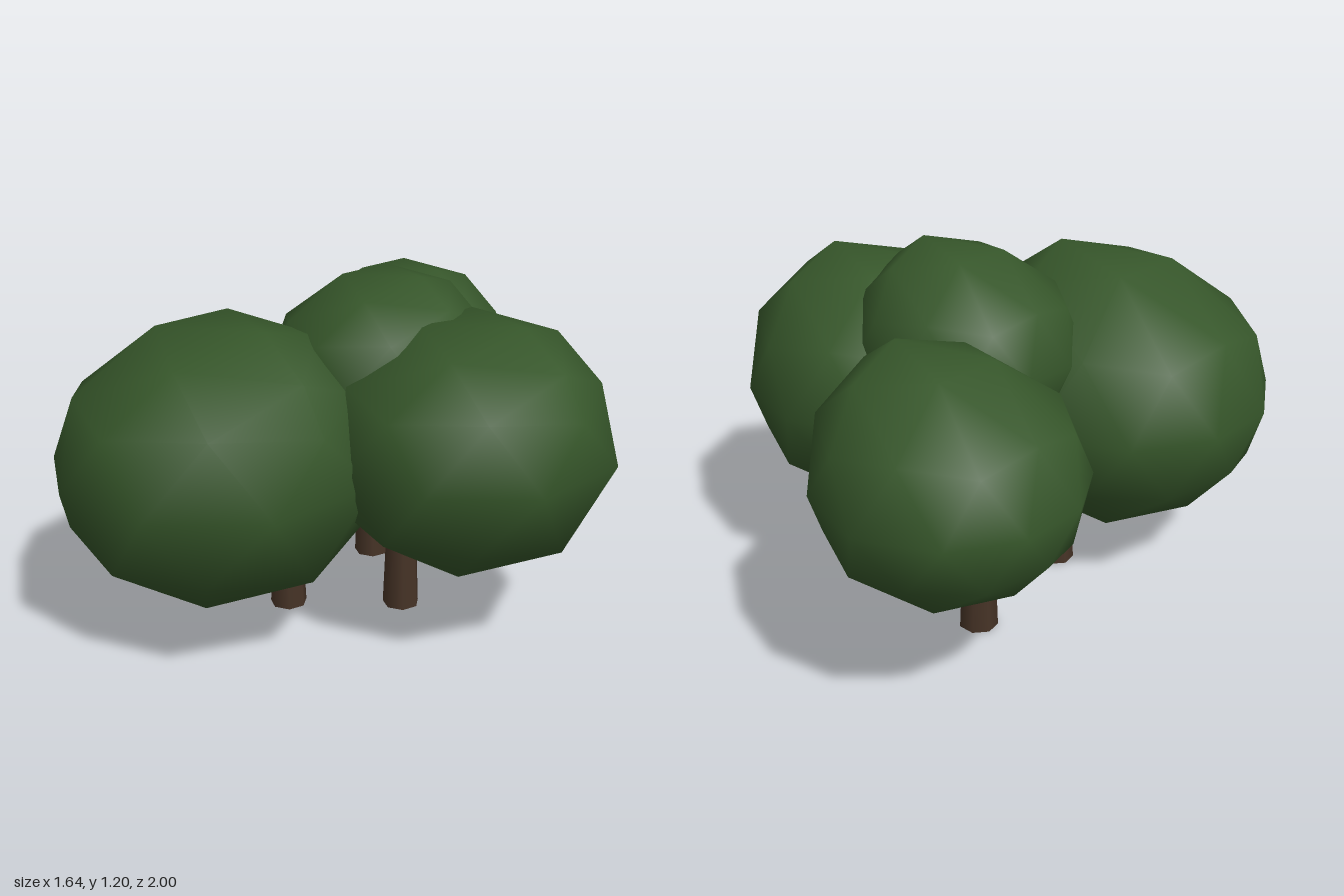
import * as THREE from 'three';
import { mergeVertices } from 'three/addons/utils/BufferGeometryUtils.js';

// Lumpy low-poly ball with smooth normals, shared by every crown
function crownGeometry() {
  let g = new THREE.IcosahedronGeometry(1, 1);
  g.rotateZ(-Math.atan((Math.sqrt(5) - 1) / 2)); // one corner straight up
  g.deleteAttribute('normal');
  g.deleteAttribute('uv');
  g = mergeVertices(g, 1e-4);
  const deg = Math.PI / 180;
  const p = g.attributes.position;
  for (let i = 0; i < p.count; i++) {
    const x0 = p.getX(i), y0 = p.getY(i), z0 = p.getZ(i);
    // uneven spacing around the upright axis, with one flattened side
    const a = Math.atan2(z0, x0);
    const b = a + 11 * deg * Math.cos(a - 85 * deg);
    const r = Math.hypot(x0, z0) * (1 - 0.1 * Math.max(0, Math.cos(a - 306 * deg)) ** 8);
    let x = r * Math.cos(b), y = y0;
    const z = r * Math.sin(b);
    if (y0 > 0) {
      // pull the peak towards +x and let that shoulder sag
      const k = y0 ** 4;
      y -= 0.4 * x * k;
      x += 0.42 * k;
    } else {
      // lean the underside towards -x
      const t = -10 * deg * y0;
      y = y0 * Math.cos(t) - x * Math.sin(t);
      x = x * Math.cos(t) + y0 * Math.sin(t);
    }
    p.setXYZ(i, 0.97 * x, 0.97 * y, 0.97 * z);
  }
  g.computeVertexNormals();
  return g;
}

export function createModel() {
  const leaf = new THREE.MeshStandardMaterial({ color: 0x36562a });
  leaf.name = 'leafGreen';
  const bark = new THREE.MeshStandardMaterial({ color: 0x463326 });
  bark.name = 'barkBrown';

  const group = new THREE.Group();
  group.name = 'treeCluster';

  // Crowns: name, centre, horizontal radius
  const crownGeo = crownGeometry();
  const crowns = [
    ['frontCrown', -0.215, 0.617, 0.455, 0.58],
    ['backCrown', -0.407, 0.7, -0.57, 0.452],
    ['leftCrown', 0.345, 0.675, -0.13, 0.52],
    ['topCrown', -0.015, 0.86, -0.09, 0.41],
  ];
  for (const [name, x, y, z, r] of crowns) {
    const crown = new THREE.Mesh(crownGeo, leaf);
    crown.name = name;
    crown.position.set(x, y, z);
    crown.scale.set(r, r * 0.85, r);
    group.add(crown);
  }

  // Tapered trunks, running up into the crowns
  const trunkGeo = new THREE.CylinderGeometry(0.043, 0.065, 0.55, 7);
  trunkGeo.translate(0, 0.275, 0);
  const trunks = [
    ['frontTrunk', -0.19, 0.213],
    ['backTrunk', -0.285, -0.29],
    ['leftTrunk', 0.09, -0.075],
  ];
  for (const [name, x, z] of trunks) {
    const trunk = new THREE.Mesh(trunkGeo, bark);
    trunk.name = name;
    trunk.position.set(x, 0, z);
    group.add(trunk);
  }
  return group;
}
